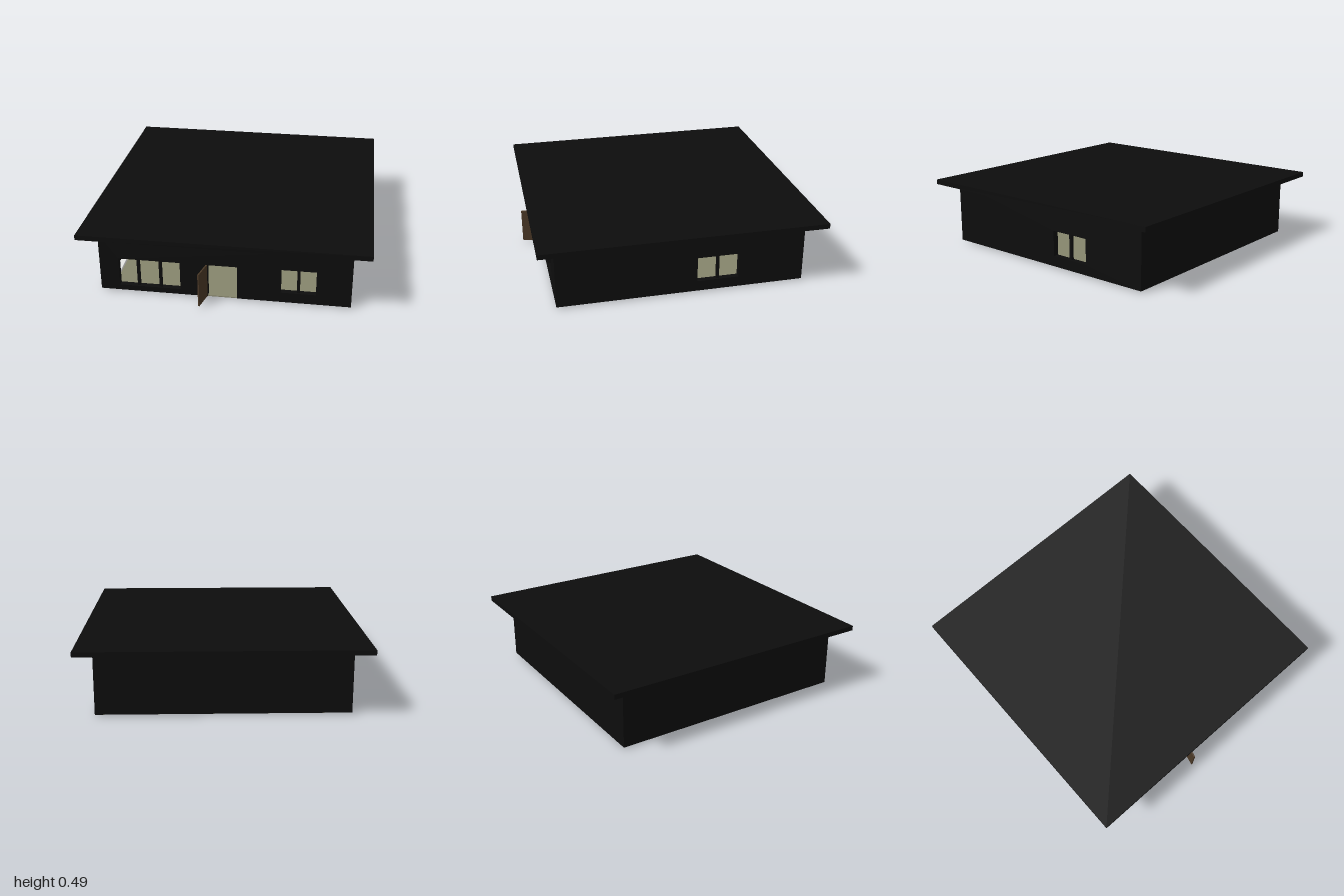
import * as THREE from 'three';

const mat = (name, color) => {
  const m = new THREE.MeshStandardMaterial({ color });
  m.name = name;
  return m;
};

export function createModel() {
  const house = new THREE.Group();
  house.name = 'house';
  const black = mat('black', 0x0d0d0d);
  const stone = mat('floor stone', 0x86856c);
  const brown = mat('dark wood', 0x4a3826);
  const tan = mat('light wood', 0xcb9e6e);
  const white = mat('white', 0xf2f2f0);

  const add = (name, geometry, material, parent = house) => {
    const mesh = new THREE.Mesh(geometry, material);
    mesh.name = name;
    parent.add(mesh);
    return mesh;
  };
  // Box given by its minimum and maximum on each axis
  const box = (name, material, [x0, x1], [y0, y1], [z0, z1], parent = house) => {
    const mesh = add(name, new THREE.BoxGeometry(x1 - x0, y1 - y0, z1 - z0), material, parent);
    mesh.position.set((x0 + x1) / 2, (y0 + y1) / 2, (z0 + z1) / 2);
    return mesh;
  };
  const rect = (target, x0, x1, y0, y1) => target
    .moveTo(x0, y0).lineTo(x1, y0).lineTo(x1, y1).lineTo(x0, y1).closePath();

  const T = 0.04, BASE = 0.01, TOP = 0.45, FRONT = 0.865, BACK = -0.875, SIDE = 0.87;

  // Roof and floor
  box('roof', black, [-0.99, 0.99], [TOP, 0.485], [-1, 0.98]);
  box('floor', stone, [-0.865, 0.865], [0.008, 0.015], [-0.87, 0.86]);

  // Front wall: door notch in the outline, windows as holes
  const front = new THREE.Shape();
  front.moveTo(-SIDE, BASE).lineTo(-0.113, BASE).lineTo(-0.113, 0.26).lineTo(0.09, 0.26)
    .lineTo(0.09, BASE).lineTo(SIDE, BASE).lineTo(SIDE, TOP).lineTo(-SIDE, TOP).closePath();
  front.holes.push(rect(new THREE.Path(), -0.735, -0.305, 0.05, 0.26),
    rect(new THREE.Path(), 0.39, 0.63, 0.085, 0.265));
  const extrude = { depth: T, bevelEnabled: false };
  add('frontWall', new THREE.ExtrudeGeometry(front, extrude), black).position.z = FRONT - T;

  // Right-hand wall with one window, drawn along -z
  const side = rect(new THREE.Shape(), -FRONT + T, -BACK, BASE, TOP);
  side.holes.push(rect(new THREE.Path(), 0.11, 0.405, 0.085, 0.265));
  const sideWall = add('windowSideWall', new THREE.ExtrudeGeometry(side, extrude), black);
  sideWall.rotation.y = Math.PI / 2;
  sideWall.position.x = SIDE - T;

  // Plain walls
  box('plainSideWall', black, [-SIDE, -SIDE + T], [BASE, TOP], [BACK, FRONT - T]);
  box('backWall', black, [-SIDE + T, SIDE - T], [BASE, TOP], [BACK, BACK + T]);

  // Window mullions
  for (const [x, y0, y1] of [[-0.6, 0.05, 0.26], [-0.445, 0.05, 0.26], [0.51, 0.085, 0.265]]) {
    box('mullion', black, [x - 0.01, x + 0.01], [y0, y1], [FRONT - 0.03, FRONT - 0.01]);
  }
  box('mullion', black, [SIDE - 0.03, SIDE - 0.01], [0.085, 0.265], [-0.267, -0.247]);

  // Open door, swung outward on its hinge
  const door = new THREE.Group();
  door.name = 'door';
  door.position.set(-0.113, 0, 0.855);
  door.rotation.y = -0.235;
  box('doorPanel', brown, [-0.01, 0], [0.012, 0.26], [0, 0.149], door);
  house.add(door);

  // Kitchen along the back wall
  box('baseCabinets', tan, [-0.83, -0.25], [0.015, 0.13], [-0.835, -0.68]);
  box('worktop', black, [-0.83, -0.25], [0.13, 0.135], [-0.835, -0.675]);
  box('wallCabinets', brown, [-0.83, -0.25], [0.23, 0.34], [-0.835, -0.74]);

  // Low table, chair and bench
  box('lowTableTop', black, [-0.66, -0.54], [0.05, 0.06], [0.05, 0.25]);
  for (const x of [-0.65, -0.55]) for (const z of [0.06, 0.24]) {
    box('lowTableLeg', black, [x - 0.006, x + 0.006], [0.015, 0.05], [z - 0.006, z + 0.006]);
  }
  box('chairSeat', brown, [-0.475, -0.39], [0.05, 0.06], [0.05, 0.14]);
  box('chairBack', brown, [-0.475, -0.39], [0.06, 0.105], [0.05, 0.06]);
  for (const x of [-0.468, -0.397]) for (const z of [0.057, 0.133]) {
    box('chairLeg', brown, [x - 0.005, x + 0.005], [0.015, 0.05], [z - 0.005, z + 0.005]);
  }
  box('bench', white, [-0.83, -0.79], [0.015, 0.035], [0.42, 0.82]);

  // Small stand in the front corner, its feet reaching the ground
  box('standTop', black, [0.65, 0.83], [0.06, 0.07], [0.72, 0.8]);
  for (const x of [0.67, 0.81]) {
    const leg = add('standLeg', new THREE.CylinderGeometry(0.007, 0.007, 0.06, 10), black);
    leg.position.set(x, 0.03, 0.76);
  }
  return house;
}
